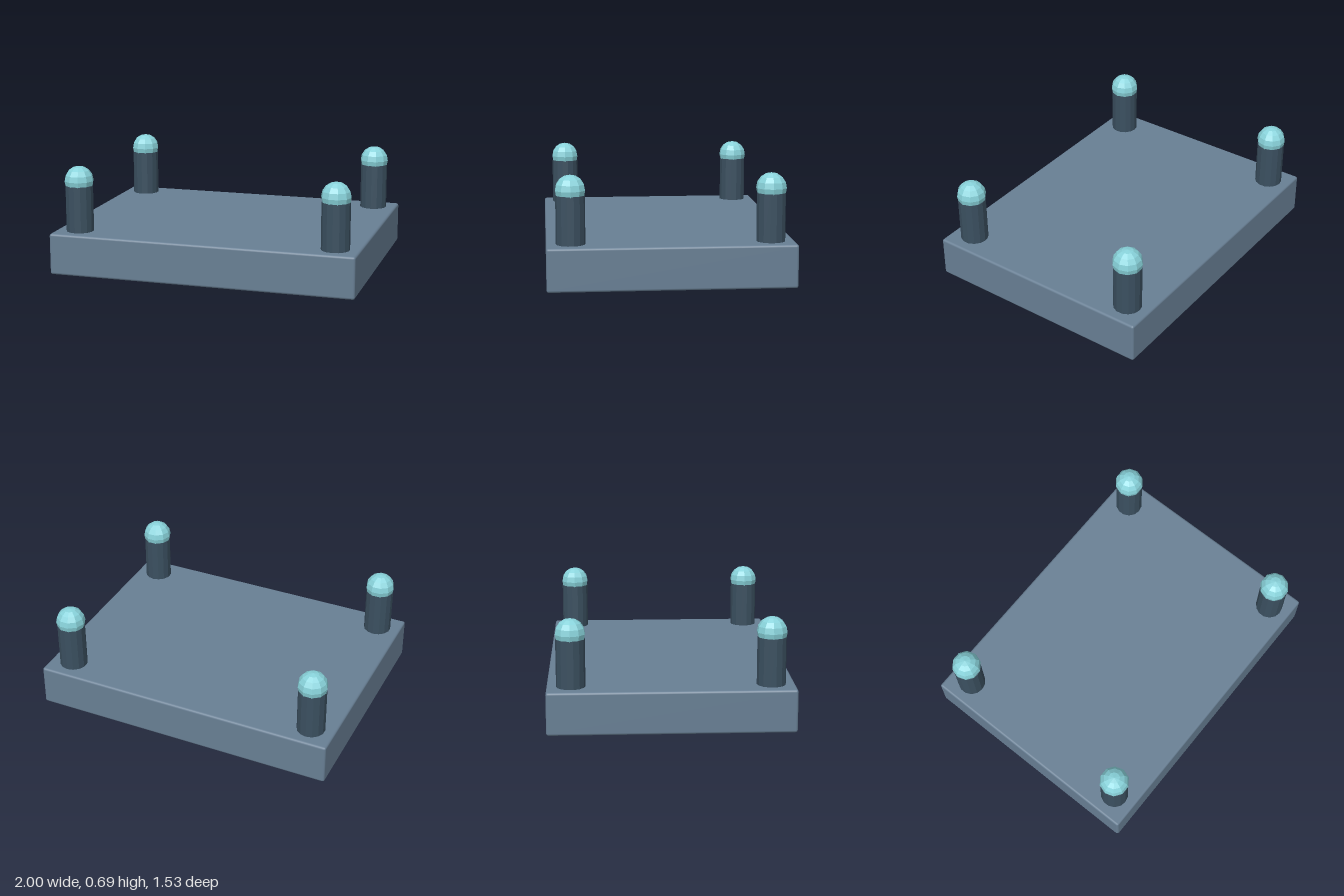
import * as THREE from 'three';
import { RoundedBoxGeometry } from 'three/addons/geometries/RoundedBoxGeometry.js';

const material = (name, color, flatShading = false) => {
  const m = new THREE.MeshStandardMaterial({ color, flatShading });
  m.name = name;
  return m;
};

export function createModel() {
  const group = new THREE.Group();
  group.name = 'platformWithPosts';

  const slate = material('slate blue', 0x687f94);
  const darkSlate = material('dark slate', 0x3b5060, true);
  const aqua = material('pale aqua', 0x88d2da, true);

  const add = (name, geometry, mat, x, y, z) => {
    const mesh = new THREE.Mesh(geometry, mat);
    mesh.name = name;
    mesh.position.set(x, y, z);
    group.add(mesh);
  };

  // Slab with small softened edges
  add('slab', new RoundedBoxGeometry(2, 0.27, 1.53, 2, 0.015), slate, 0, 0.135, 0);

  // Corner posts, each capped by a faceted ball
  const postGeometry = new THREE.CylinderGeometry(0.09, 0.09, 0.31, 14);
  const ballGeometry = new THREE.SphereGeometry(0.095, 10, 8);
  for (const [side, sx] of [['Left', 1], ['Right', -1]]) {
    for (const [end, sz] of [['front', 1], ['back', -1]]) {
      const x = sx * 0.845, z = sz * 0.615;
      add(`${end}${side}Post`, postGeometry, darkSlate, x, 0.415, z);
      add(`${end}${side}Ball`, ballGeometry, aqua, x, 0.6, z);
    }
  }
  return group;
}
